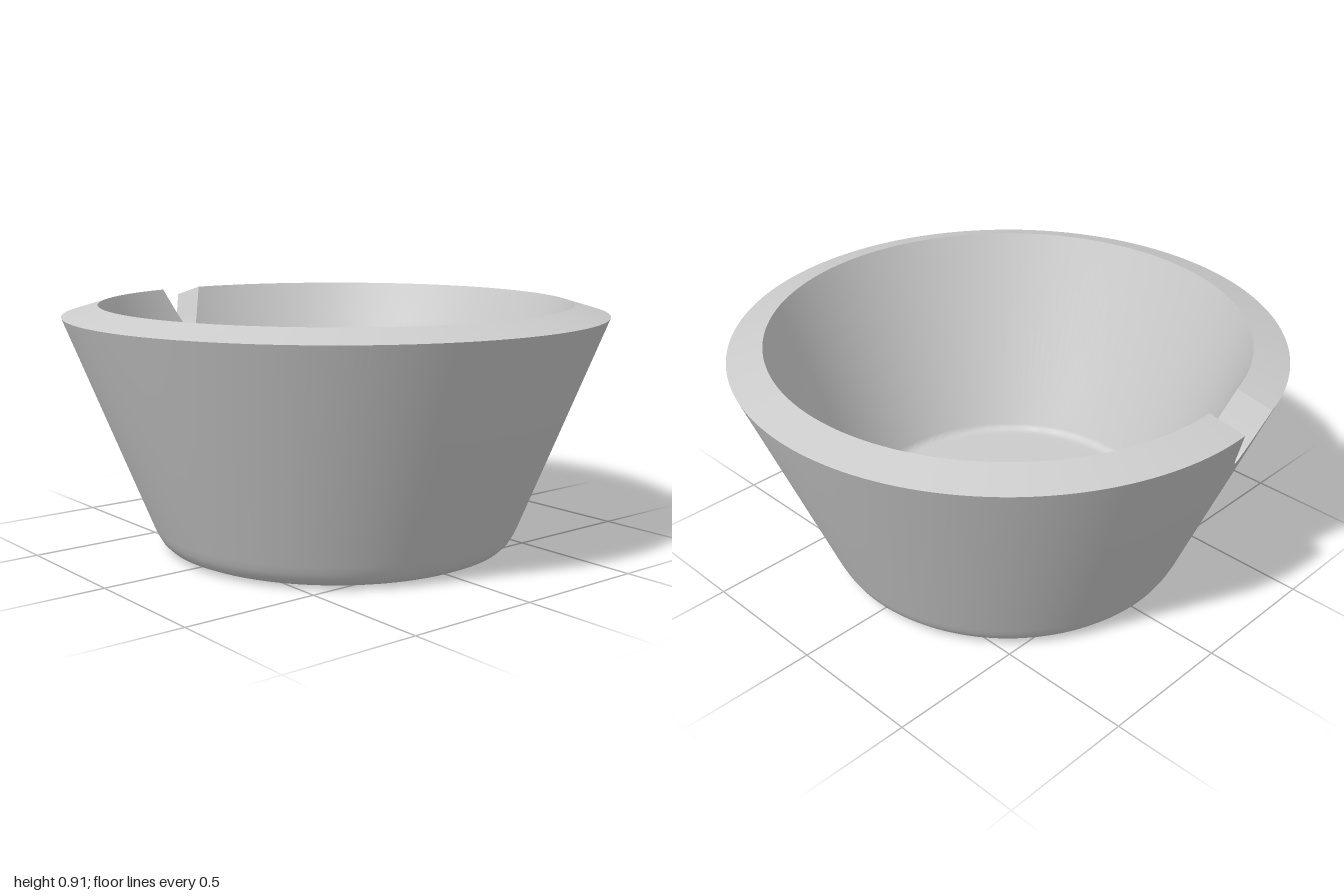
import * as THREE from 'three';
import { toCreasedNormals } from 'three/addons/utils/BufferGeometryUtils.js';

const SLOPE = 0.393;                       // radius gained per unit of wall height
const NOTCH_ANGLE = THREE.MathUtils.degToRad(9);
const NOTCH_HALF = 0.097, NOTCH_DEPTH = 0.18;
const NOTCH_STEPS = 24, RING_STEPS = 168;

// [radius, y] from the base centre up to the outer rim
const outerProfile = [[0, 0], [0.5, 0], [0.59, 0.004], [0.62, 0.007], [0.645, 0.018],
  [0.663, 0.036], [0.677, 0.06], [0.69, 0.088], [1, 0.868]];
// [radius, y] from the inner rim down to the floor centre
const innerProfile = [[0.87, 0.907], [0.577, 0.162], [0.571, 0.149], [0.562, 0.141],
  [0.55, 0.136], [0.535, 0.135], [0.48, 0.135], [0, 0.135]];

// V-shaped cut with a rounded bottom; s is the sideways offset from its middle
function cutDepth(s) {
  const c = 0.06, a = NOTCH_DEPTH + c;
  const m = Math.sqrt(a * a - c * c) / NOTCH_HALF;
  return Math.max(0, a - Math.hypot(c, m * s));
}

// Columns run once around the bowl: first across the notch, then round the rest
function makeColumn(i, rimRadius) {
  if (i <= NOTCH_STEPS) {
    const t = (2 * i) / NOTCH_STEPS - 1;
    const s = NOTCH_HALF * t * Math.abs(t);
    const depth = cutDepth(s);
    return { depth, angle: Math.asin(s / (rimRadius - SLOPE * depth)) };
  }
  const edge = Math.asin(NOTCH_HALF / rimRadius);
  const t = (i - NOTCH_STEPS) / RING_STEPS;
  return { depth: 0, angle: edge + t * (2 * Math.PI - 2 * edge) };
}

function bowlGeometry() {
  const columns = NOTCH_STEPS + RING_STEPS;
  const rows = outerProfile.length + innerProfile.length;
  const outerRim = outerProfile.length - 1, innerRim = outerRim + 1;
  const profile = [...outerProfile, ...innerProfile];
  const positions = [], index = [];

  for (let i = 0; i < columns; i++) {
    const outer = makeColumn(i, 1), inner = makeColumn(i, 0.87);
    profile.forEach(([r, y], j) => {
      const { depth, angle } = j <= outerRim ? outer : inner;
      const drop = j === outerRim || j === innerRim ? depth : 0;
      const radius = r - SLOPE * drop, a = angle + NOTCH_ANGLE;
      positions.push(-radius * Math.sin(a), y - drop, -radius * Math.cos(a));
    });
  }
  for (let i = 0; i < columns; i++) {
    const p = i * rows, q = ((i + 1) % columns) * rows;
    for (let j = 0; j < rows - 1; j++) {
      if (j > 0) index.push(p + j, q + j, q + j + 1);
      if (j < rows - 2) index.push(p + j, q + j + 1, p + j + 1);
      else index[index.length - 1] = p + j + 1;
    }
  }
  const geometry = new THREE.BufferGeometry();
  geometry.setAttribute('position', new THREE.Float32BufferAttribute(positions, 3));
  geometry.setIndex(index);
  return toCreasedNormals(geometry, 0.5);
}

export function createModel() {
  const group = new THREE.Group();
  group.name = 'notchedBowl';
  // Tapered bowl with thick wall, sloping rim and a pouring notch at the back
  const bowl = new THREE.Mesh(bowlGeometry(), new THREE.MeshStandardMaterial({ color: 0xcccccc }));
  bowl.name = 'bowl';
  group.add(bowl);
  return group;
}
